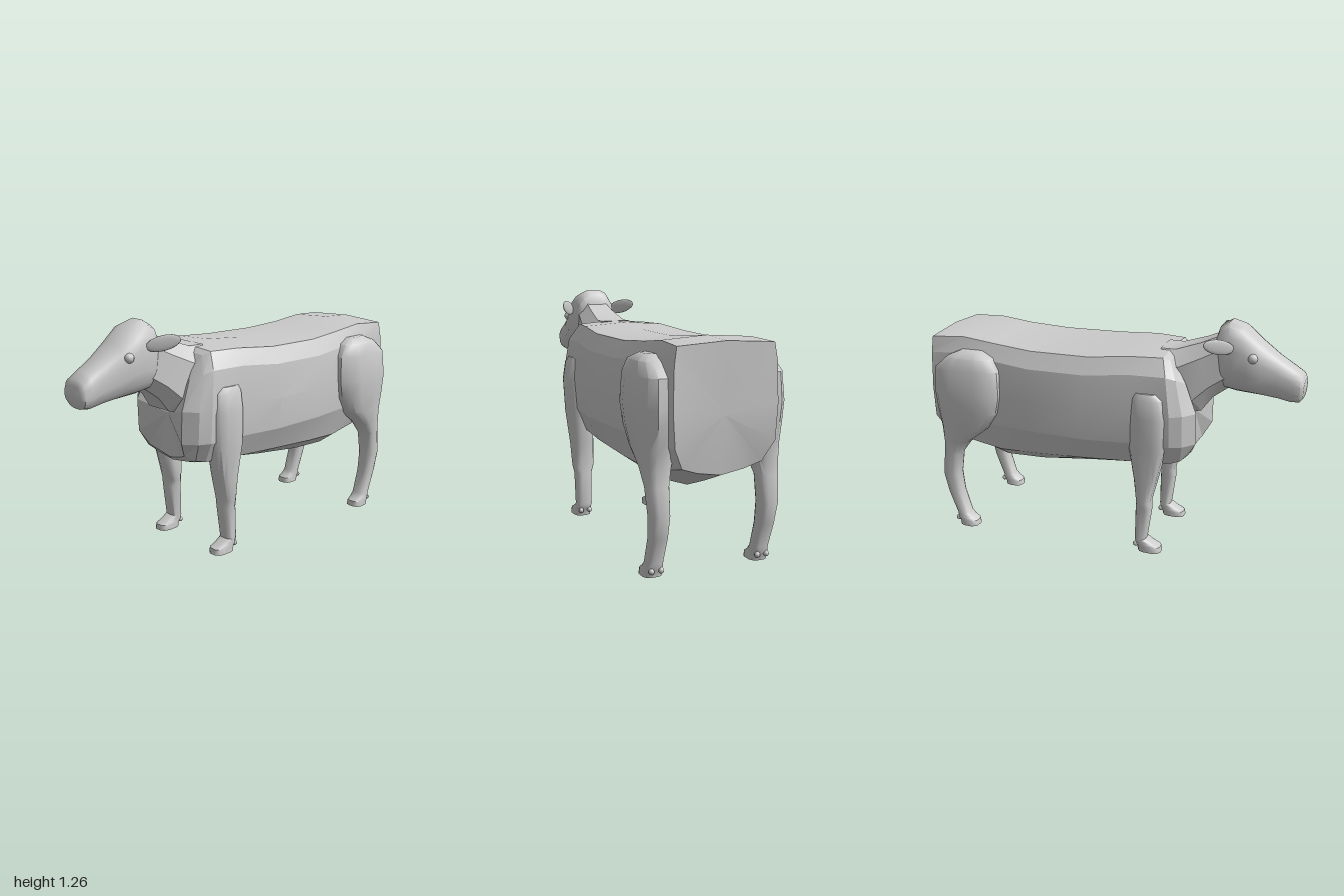
import * as THREE from 'three';
import { mergeVertices, toCreasedNormals } from 'three/addons/utils/BufferGeometryUtils.js';

const material = new THREE.MeshStandardMaterial({ color: 0xcccccc });
const { lerp } = THREE.MathUtils;

// Skin a list of closed rings (arrays of Vector3) and close both ends.
function loft(rings, crease) {
  const n = rings[0].length;
  const pos = [], index = [];
  rings.forEach(r => r.forEach(p => pos.push(p.x, p.y, p.z)));
  for (let i = 0; i < rings.length - 1; i++) {
    for (let j = 0; j < n; j++) {
      const a = i * n + j, b = i * n + (j + 1) % n;
      index.push(a, b, b + n, a, b + n, a + n);
    }
  }
  [0, rings.length - 1].forEach(i => {
    const c = rings[i].reduce((s, p) => s.add(p), new THREE.Vector3()).divideScalar(n);
    const k = pos.length / 3;
    pos.push(c.x, c.y, c.z);
    for (let j = 0; j < n; j++) {
      const a = i * n + j, b = i * n + (j + 1) % n;
      index.push(...(i ? [k, a, b] : [k, b, a]));
    }
  });
  // Turn the faces outward if the enclosed volume is negative.
  const at = i => new THREE.Vector3().fromArray(pos, i * 3);
  let volume = 0;
  for (let i = 0; i < index.length; i += 3) {
    volume += at(index[i]).dot(at(index[i + 1]).cross(at(index[i + 2])));
  }
  if (volume < 0) index.reverse();
  const g = new THREE.BufferGeometry();
  g.setAttribute('position', new THREE.Float32BufferAttribute(pos, 3));
  g.setIndex(index);
  return toCreasedNormals(mergeVertices(g), crease);
}

function add(parent, name, geometry) {
  const mesh = new THREE.Mesh(geometry, material);
  mesh.name = name;
  parent.add(mesh);
  return mesh;
}

// Rounded-square value of a sine or cosine.
const soft = (v, e) => Math.sign(v) * Math.abs(v) ** e;

// Horizontal leg section: [y, back z, front z, inner x, outer x].
function legRing([y, z0, z1, x0, x1]) {
  return Array.from({ length: 12 }, (_, i) => {
    const a = (i + 0.5) / 12 * Math.PI * 2;
    return new THREE.Vector3(
      (x0 + x1) / 2 + soft(Math.cos(a), 0.7) * (x1 - x0) / 2, y,
      (z0 + z1) / 2 + soft(Math.sin(a), 0.7) * (z1 - z0) / 2);
  });
}

// Tilted section of neck or head: [top z, top y, bottom z, bottom y, half width].
function slantRing([zt, yt, zb, yb, w], sides, e) {
  return Array.from({ length: sides }, (_, i) => {
    const a = (i + 0.5) / sides * Math.PI * 2;
    const t = 0.5 - 0.5 * soft(Math.cos(a), e) / soft(Math.cos(Math.PI / sides), e);
    return new THREE.Vector3(soft(Math.sin(a), e) * w, lerp(yt, yb, t), lerp(zt, zb, t));
  });
}

// Body section: [top z, middle z, bottom z, top y, back half width, half width, rim y, bottom y].
function bodyRing([zt, zm, zb, top, p, w, rim, bot]) {
  const half = [
    [0, top, zt], [p, top - 0.015, zt], [lerp(p, w, 0.7), top - 0.1, lerp(zt, zm, 0.5)],
    [w, 0.8, zm], [w * 0.96, 0.63, zm], [w * 0.77, rim, lerp(zm, zb, 0.7)],
    [w * 0.45, lerp(rim, bot, 0.6), zb], [0, bot, zb],
  ].map(p => new THREE.Vector3(...p));
  const mirrored = half.slice(1, -1).reverse().map(p => new THREE.Vector3(-p.x, p.y, p.z));
  return [...half, ...mirrored];
}

const BODY = [
  [-0.985, -0.995, -0.95, 1.1, 0.25, 0.27, 0.53, 0.48],
  [-0.8, -0.8, -0.8, 1.11, 0.235, 0.28, 0.49, 0.42],
  [-0.62, -0.62, -0.62, 1.09, 0.235, 0.295, 0.465, 0.355],
  [-0.4, -0.4, -0.4, 1.075, 0.25, 0.32, 0.48, 0.365],
  [-0.08, -0.08, -0.08, 1.08, 0.255, 0.325, 0.5, 0.415],
  [0.15, 0.15, 0.15, 1.1, 0.23, 0.29, 0.505, 0.46],
  [0.31, 0.37, 0.36, 1.1, 0.2, 0.28, 0.52, 0.48],
  [0.34, 0.43, 0.4, 1.08, 0.17, 0.25, 0.53, 0.49],
  [0.36, 0.485, 0.42, 1.05, 0.13, 0.18, 0.55, 0.51],
];

const NECK = [
  [0.26, 1.1, 0.4, 0.76, 0.16],
  [0.34, 1.1, 0.485, 0.785, 0.155],
  [0.47, 1.145, 0.54, 0.86, 0.13],
  [0.57, 1.19, 0.62, 0.92, 0.11],
];

const HEAD = [
  [0.54, 1.17, 0.57, 0.93, 0.095],
  [0.56, 1.23, 0.6, 0.912, 0.115],
  [0.61, 1.26, 0.66, 0.902, 0.122],
  [0.68, 1.24, 0.73, 0.898, 0.125],
  [0.77, 1.165, 0.79, 0.893, 0.112],
  [0.86, 1.1, 0.87, 0.882, 0.09],
  [0.94, 1.05, 0.94, 0.87, 0.086],
  [0.985, 1.02, 0.98, 0.876, 0.084],
  [1.0, 0.99, 0.997, 0.9, 0.068],
];

const FRONT_LEG = [
  [0.91, 0.18, 0.3, 0.22, 0.285],
  [0.88, 0.165, 0.335, 0.2, 0.3],
  [0.78, 0.155, 0.355, 0.18, 0.312],
  [0.6, 0.15, 0.345, 0.165, 0.305],
  [0.42, 0.175, 0.3, 0.162, 0.287],
  [0.29, 0.19, 0.265, 0.163, 0.282],
  [0.25, 0.185, 0.27, 0.175, 0.27],
  [0.07, 0.182, 0.245, 0.18, 0.27],
  [0.045, 0.185, 0.29, 0.18, 0.27],
  [0.03, 0.195, 0.325, 0.178, 0.272],
  [0, 0.2, 0.33, 0.178, 0.275],
];

const HIND_LEG = [
  [1.035, -0.8, -0.68, 0.24, 0.3],
  [1.005, -0.87, -0.61, 0.22, 0.345],
  [0.94, -0.945, -0.57, 0.2, 0.365],
  [0.8, -0.957, -0.565, 0.19, 0.377],
  [0.7, -0.948, -0.59, 0.19, 0.37],
  [0.6, -0.932, -0.66, 0.2, 0.36],
  [0.52, -0.922, -0.765, 0.22, 0.352],
  [0.44, -0.925, -0.825, 0.235, 0.345],
  [0.31, -0.942, -0.845, 0.238, 0.337],
  [0.2, -0.92, -0.835, 0.24, 0.33],
  [0.07, -0.87, -0.8, 0.24, 0.33],
  [0.045, -0.87, -0.775, 0.24, 0.332],
  [0.03, -0.86, -0.75, 0.24, 0.334],
  [0, -0.855, -0.745, 0.238, 0.336],
];

export function createModel() {
  const model = new THREE.Group();
  model.name = 'cow';
  add(model, 'body', loft(BODY.map(bodyRing), 0.25));
  add(model, 'neck', loft(NECK.map(r => slantRing(r, 8, 0.7)), 0.4));
  add(model, 'head', loft(HEAD.map(r => slantRing(r, 16, 0.72)), 0.8));

  for (const [side, s] of [['left', 1], ['right', -1]]) {
    const mirror = rings => rings.map(r => legRing(r).map(p => p.setX(p.x * s)));
    add(model, side + 'FrontLeg', loft(mirror(FRONT_LEG), 0.75));
    add(model, side + 'HindLeg', loft(mirror(HIND_LEG), 0.75));

    // Small dewclaws behind each hoof
    for (const [x, z] of [[0.2, 0.19], [0.25, 0.19], [0.26, -0.865], [0.31, -0.865]]) {
      const claw = add(model, side + 'Dewclaw', new THREE.SphereGeometry(0.015, 8, 6));
      claw.position.set(x * s, 0.035, z);
    }

    const eye = add(model, side + 'Eye', new THREE.SphereGeometry(0.025, 12, 8));
    eye.position.set(0.108 * s, 1.1, 0.745);

    // Thin leaf-shaped ear, swept outward, upward and back
    const leaf = new THREE.SphereGeometry(1, 16, 10).scale(0.088, 0.038, 0.009);
    const ear = add(model, side + 'Ear', leaf);
    ear.position.set(0.168 * s, 1.16, 0.585);
    ear.rotation.set(0, s * 0.87, s * 0.25);
  }
  return model;
}
